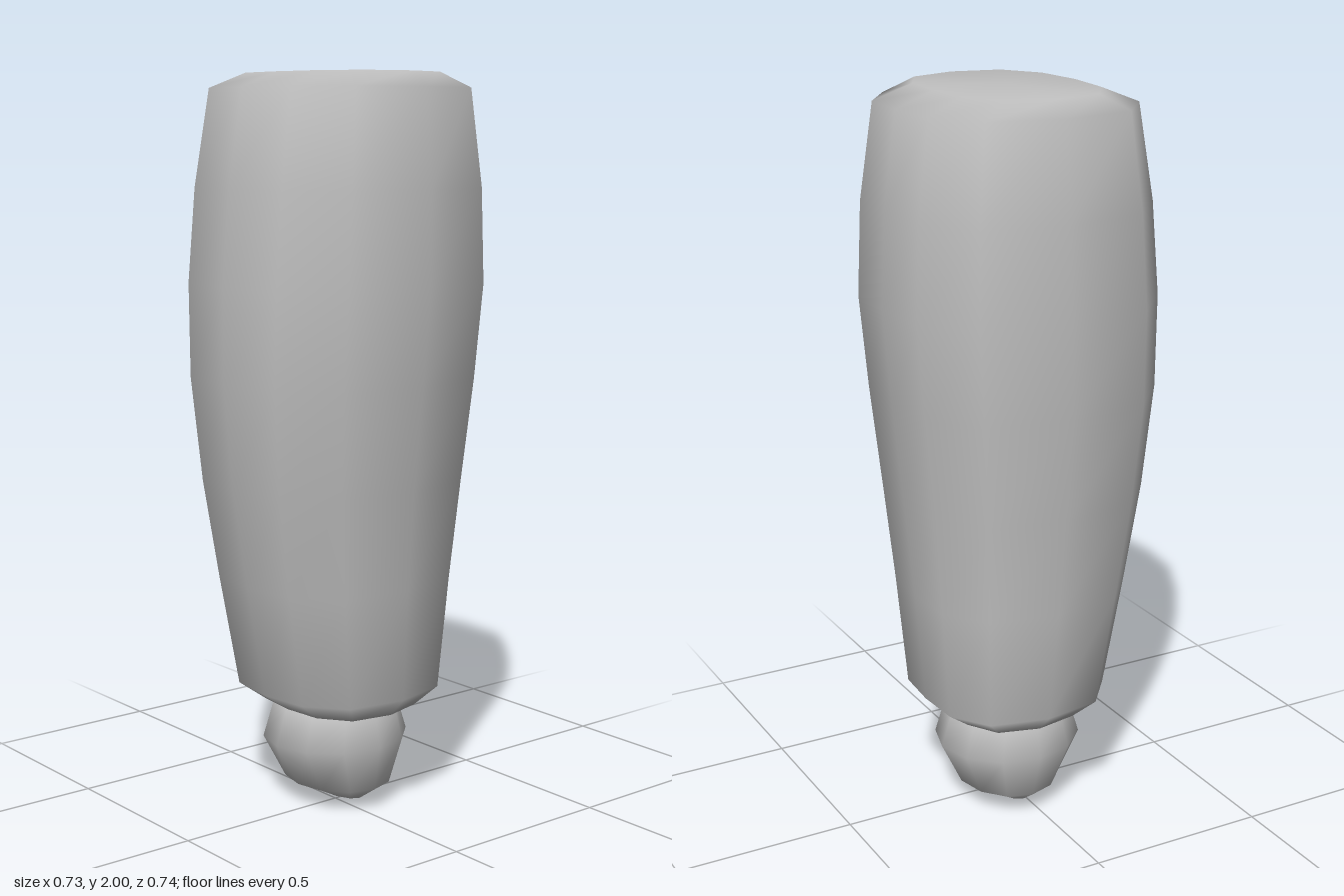
import * as THREE from 'three';

// Half of each cross-section, from back to front; the other half is mirrored.
const BOXY = [[0, -1], [0.48, -0.965], [0.855, -0.68], [1, -0.05], [0.9, 0.6], [0.525, 0.93], [0, 1]];
const ROUND = [0, 1, 2, 3, 4, 5, 6].map((i) => {
  const a = (i * Math.PI) / 6;
  return [Math.sin(a), -Math.cos(a)];
});

// Smooth closed skin through rings of [y, xMin, xMax, zMin, zMax].
function loft(half, rings, bottomY, topY) {
  const outline = [...half, ...half.slice(1, -1).reverse().map(([x, z]) => [-x, z])];
  const n = outline.length;
  const pos = [];
  const idx = [];
  for (const [y, x0, x1, z0, z1] of rings) {
    for (const [u, v] of outline) {
      pos.push((x0 + x1) / 2 + (u * (x1 - x0)) / 2, y, (z0 + z1) / 2 + (v * (z1 - z0)) / 2);
    }
  }
  const centre = ([, x0, x1, z0, z1], y) => pos.push((x0 + x1) / 2, y, (z0 + z1) / 2);
  const last = rings.length - 1;
  const bottom = rings.length * n;
  centre(rings[0], bottomY);
  centre(rings[last], topY);
  for (let j = 0; j < n; j++) {
    const k = (j + 1) % n;
    for (let r = 0; r < last; r++) {
      const a = r * n;
      const b = a + n;
      idx.push(a + j, b + j, a + k, a + k, b + j, b + k);
    }
    idx.push(bottom, j, k, bottom + 1, last * n + k, last * n + j);
  }
  const geometry = new THREE.BufferGeometry();
  geometry.setAttribute('position', new THREE.Float32BufferAttribute(pos, 3));
  geometry.setIndex(idx);
  geometry.computeVertexNormals();
  return geometry;
}

export function createModel() {
  const grey = new THREE.MeshStandardMaterial({ color: 0xc0c0c0 });
  grey.name = 'light grey';
  const group = new THREE.Group();
  group.name = 'limbSegment';
  const add = (name, geometry) => {
    const mesh = new THREE.Mesh(geometry, grey);
    mesh.name = name;
    group.add(mesh);
  };

  // Tapered, boxy limb with a softened rim at both ends
  add('limb', loft(BOXY, [
    [0.287, -0.235, 0.2, -0.2, 0.155],
    [0.34, -0.287, 0.25, -0.27, 0.23],
    [0.65, -0.31, 0.283, -0.295, 0.29],
    [0.92, -0.332, 0.315, -0.32, 0.337],
    [1.2, -0.355, 0.347, -0.347, 0.367],
    [1.45, -0.365, 0.363, -0.367, 0.368],
    [1.7, -0.355, 0.358, -0.355, 0.348],
    [1.955, -0.332, 0.336, -0.318, 0.305],
    [1.995, -0.28, 0.29, -0.21, 0.2],
  ], 0.285, 2));

  // Ball joint tucked into the lower end
  add('ballJoint', loft(ROUND, [
    [0.016, -0.13, 0.075, -0.07, 0.02],
    [0.06, -0.19, 0.14, -0.165, 0.112],
    [0.185, -0.22, 0.167, -0.226, 0.185],
    [0.285, -0.2, 0.15, -0.192, 0.152],
    [0.35, -0.12, 0.07, -0.11, 0.07],
  ], 0, 0.38));

  return group;
}
